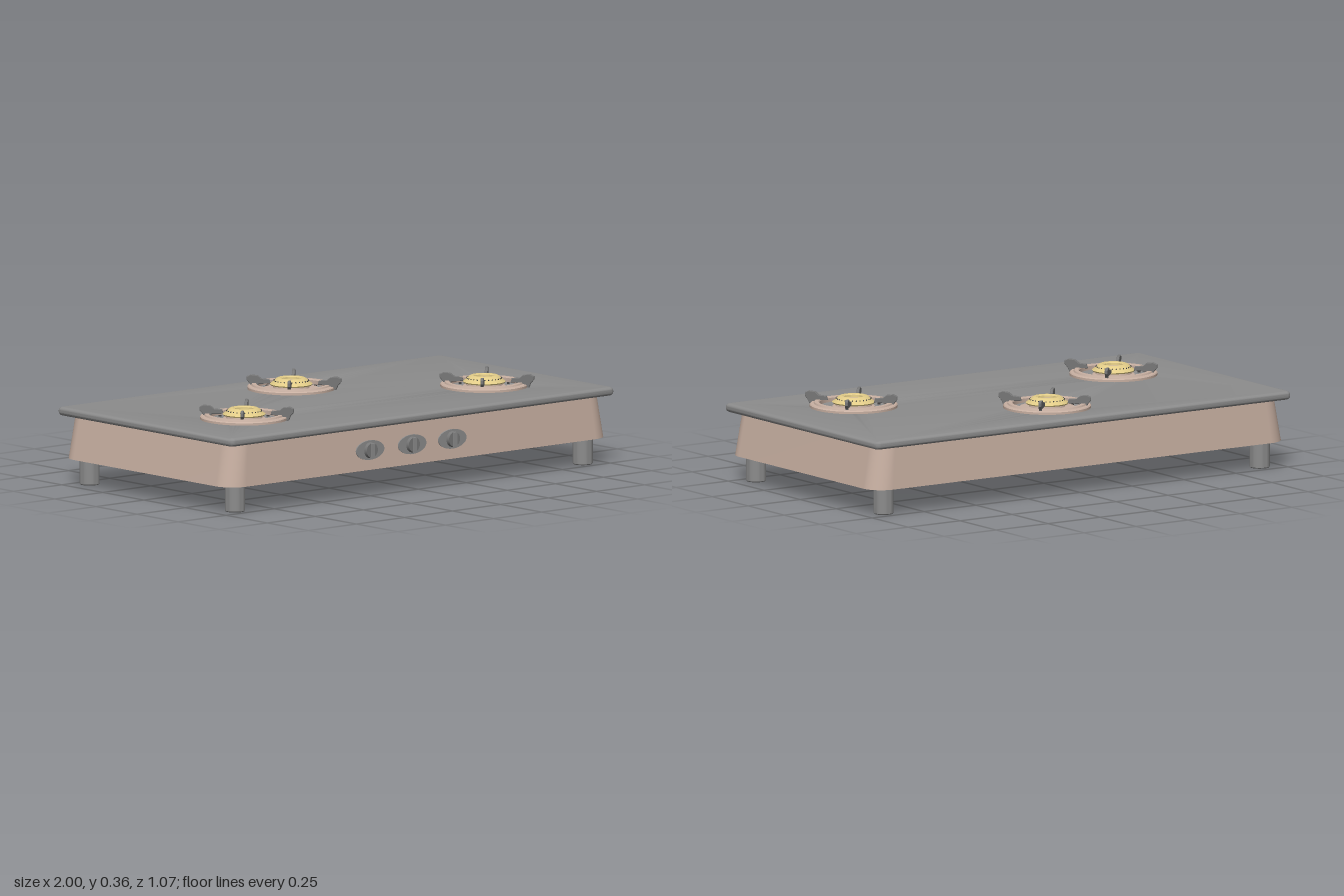
import * as THREE from 'three';
import { toCreasedNormals } from 'three/addons/utils/BufferGeometryUtils.js';

const mat = (color, side = THREE.FrontSide) => new THREE.MeshStandardMaterial({ color, side });
const grey = mat(0x8c8c8c);
const steel = mat(0x777777);
const dark = mat(0x444444);
const brown = mat(0xc8b0a2);
const brownSheet = mat(0xc8b0a2, THREE.DoubleSide);
const gold = mat(0xe2cc88);

const burners = [
  { x: -0.63, z: 0.177, hole: 0.08 },
  { x: 0, z: -0.272, hole: 0.105 },
  { x: 0.62, z: 0.177, hole: 0.08 },
];

function add(parent, name, geometry, material, x = 0, y = 0, z = 0) {
  const mesh = new THREE.Mesh(geometry, material);
  mesh.name = name;
  mesh.position.set(x, y, z);
  parent.add(mesh);
  return mesh;
}

function lathe(points, segments = 48) {
  const geo = new THREE.LatheGeometry(points.map(([r, y]) => new THREE.Vector2(r, y)), segments);
  return toCreasedNormals(geo, 0.5);
}

// Points of a rounded rectangle, counter-clockwise in the plane
function roundedRect(w, d, r, steps = 8) {
  const points = [];
  [[1, 1], [-1, 1], [-1, -1], [1, -1]].forEach(([sx, sz], i) => {
    for (let k = 0; k <= steps; k++) {
      const a = (i + k / steps) * Math.PI / 2;
      points.push(new THREE.Vector2(sx * (w - r) + r * Math.cos(a), sz * (d - r) + r * Math.sin(a)));
    }
  });
  return points;
}

// Top plate with rolled edges and an opening under each burner
function topPlate() {
  const b = 0.016;
  const shape = new THREE.Shape(roundedRect(1 - b, 0.533 - b, 0.008, 4));
  for (const { x, z, hole } of burners) {
    shape.holes.push(new THREE.Path().absarc(x, -z, hole, 0, Math.PI * 2, true));
  }
  const geo = new THREE.ExtrudeGeometry(shape, {
    depth: 0.002, bevelThickness: b, bevelSize: b, bevelSegments: 5, curveSegments: 24,
  });
  geo.rotateX(-Math.PI / 2);
  return toCreasedNormals(geo, 0.6);
}

// Open skirt, wider at the bottom, lofted between two rounded rectangles
function skirt() {
  const low = roundedRect(0.995, 0.517, 0.085);
  const high = roundedRect(0.965, 0.504, 0.075);
  const n = low.length, pos = [], index = [];
  for (let i = 0; i < n; i++) {
    pos.push(low[i].x, 0.107, -low[i].y, high[i].x, 0.278, -high[i].y);
    const a = 2 * i, b = 2 * ((i + 1) % n);
    index.push(a, b, b + 1, a, b + 1, a + 1);
  }
  const geo = new THREE.BufferGeometry();
  geo.setAttribute('position', new THREE.Float32BufferAttribute(pos, 3));
  geo.setIndex(index);
  geo.computeVertexNormals();
  return geo;
}

// Pan support arm: profile in (radius, height), raised at the outer end
function prongGeometry(reach) {
  const t = 0.012;
  const shape = new THREE.Shape([
    [-0.09, 0.33], [-0.086, 0.343], [-0.055, 0.346], [-0.04, 0.358], [-0.015, 0.361],
    [0, 0.354], [0, 0.342], [-0.012, 0.328], [-0.02, 0.31], [-0.035, 0.31], [-0.045, 0.328],
  ].map(([r, y]) => new THREE.Vector2(r + reach, y)));
  const geo = new THREE.ExtrudeGeometry(shape, {
    depth: t - 0.004, bevelThickness: 0.002, bevelSize: 0.002, bevelSegments: 1,
  });
  return geo.translate(0, 0, -t / 2 + 0.002);
}

function burner({ x, z, hole }) {
  const group = new THREE.Group();
  group.name = 'burner';
  group.position.set(x, 0, z);

  add(group, 'panRing', lathe([
    [0.136, 0.305], [0.174, 0.305], [0.174, 0.318], [0.17, 0.322], [0.158, 0.323],
    [0.155, 0.329], [0.139, 0.329], [0.136, 0.325], [0.136, 0.305],
  ], 64), brown);
  add(group, 'burnerBase', lathe([
    [0, 0.303], [hole + 0.004, 0.303], [hole + 0.004, 0.312], [0.072, 0.314], [0.068, 0.328], [0, 0.328],
  ]), brown);
  add(group, 'burnerCap', lathe([
    [0.06, 0.322], [0.082, 0.324], [0.085, 0.329], [0.077, 0.334], [0.06, 0.35],
    [0.054, 0.353], [0.044, 0.353], [0.038, 0.349], [0.036, 0.335],
  ]), gold);
  add(group, 'burnerCore', new THREE.CylinderGeometry(0.037, 0.037, 0.015, 32), brown, 0, 0.333, 0);

  // Flame ports around the sloping side of the cap
  const portGeo = new THREE.SphereGeometry(0.0028, 6, 4);
  for (let i = 0; i < 28; i++) {
    const a = i / 28 * Math.PI * 2;
    add(group, 'flamePort', portGeo, dark, 0.069 * Math.cos(a), 0.342, 0.069 * Math.sin(a));
  }
  // Supports, each given by the position of its outer tip
  for (const [px, pz] of [[0.12, 0.16], [0.122, -0.125], [-0.122, -0.125], [-0.11, 0.115]]) {
    const arm = add(group, 'panSupport', prongGeometry(Math.hypot(px, pz)), steel);
    arm.rotation.y = -Math.atan2(pz, px);
  }
  // Small screws on the plate
  for (const a of [0.15, 1.9, 3.3, 4.4]) {
    add(group, 'screw', new THREE.CylinderGeometry(0.006, 0.006, 0.006, 10), dark,
      0.112 * Math.cos(a), 0.311, 0.112 * Math.sin(a));
  }
  return group;
}

function knob(x) {
  const group = new THREE.Group();
  group.name = 'knob';
  group.position.set(x, 0.186, 0.509);
  const bezel = add(group, 'knobBezel', new THREE.CylinderGeometry(1, 1, 0.012, 40), grey);
  bezel.rotation.x = Math.PI / 2;
  bezel.scale.set(0.073, 1, 0.039);
  const dial = add(group, 'knobDial', new THREE.CylinderGeometry(0.029, 0.033, 0.016, 32), steel, 0, 0, 0.01);
  dial.rotation.x = Math.PI / 2;
  add(group, 'knobGrip', new THREE.BoxGeometry(0.016, 0.058, 0.012), grey, 0, 0, 0.019);
  return group;
}

export function createModel() {
  const model = new THREE.Group();
  model.name = 'gasStove';
  add(model, 'topPlate', topPlate(), grey, 0, 0.291, 0);
  add(model, 'bodySkirt', skirt(), brownSheet);
  for (const b of burners) model.add(burner(b));
  for (const x of [-0.262, -0.043, 0.166]) model.add(knob(x));

  // Legs reach up to the underside of the top plate
  const legGeo = lathe([[0, 0], [0.037, 0], [0.04, 0.004], [0.04, 0.278]], 32);
  for (const x of [-0.905, 0.905]) {
    for (const z of [-0.441, 0.443]) add(model, 'leg', legGeo, grey, x, 0, z);
  }
  return model;
}
